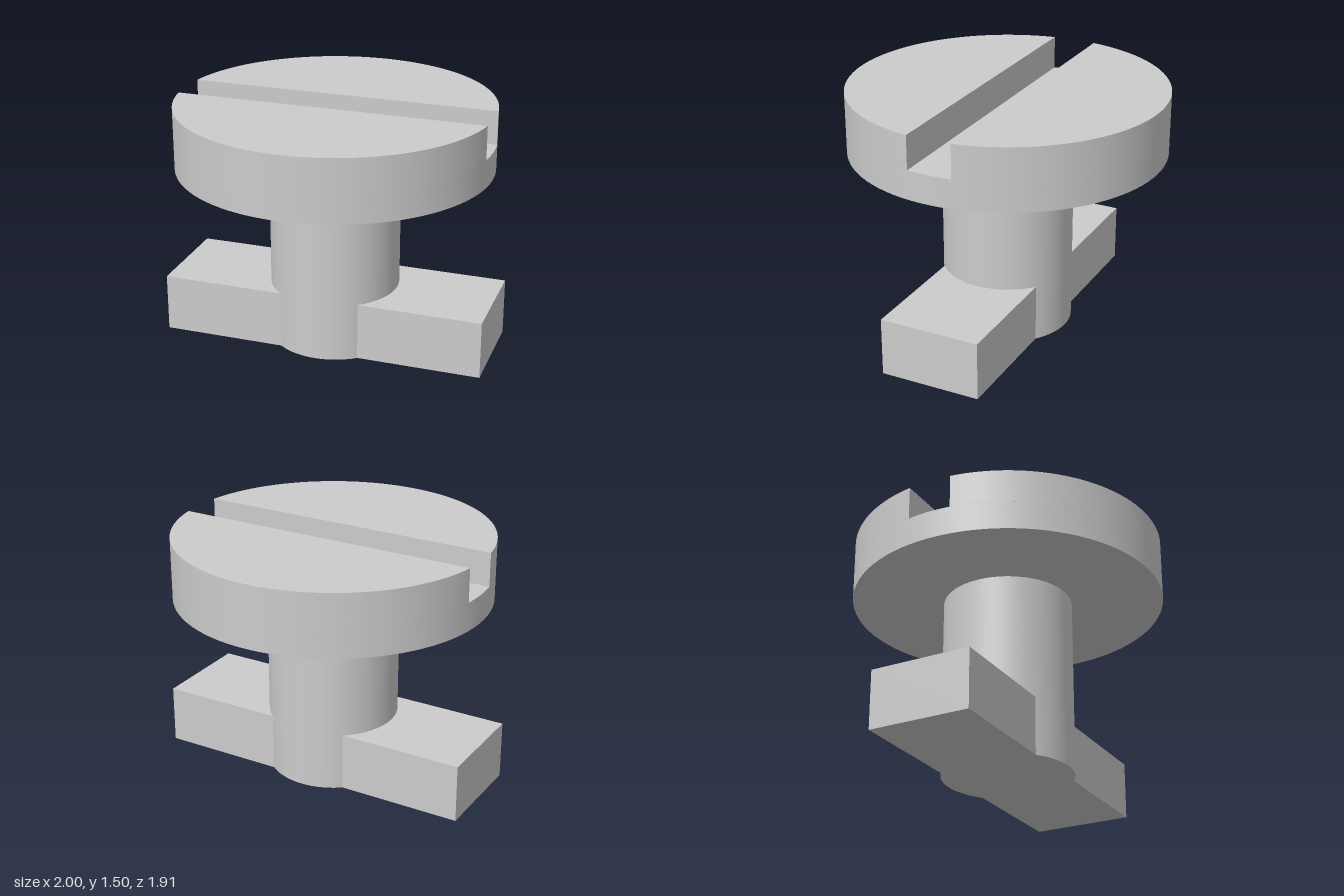
import * as THREE from 'three';
import { toCreasedNormals } from 'three/addons/utils/BufferGeometryUtils.js';

const HEAD_R = 0.955, HEAD_BOTTOM = 1.12, HEAD_TOP = 1.5;
const SLOT_FLOOR = 1.295, SLOT_HALF = 0.136;
const SHAFT_R = 0.395;
const LUG_HALF = 0.31, LUG_TOP = 0.355;

export function createModel() {
  const model = new THREE.Group();
  const material = new THREE.MeshStandardMaterial({ color: 0xcccccc });

  const add = (name, geometry) => {
    const mesh = new THREE.Mesh(geometry, material);
    mesh.name = name;
    model.add(mesh);
    return mesh;
  };

  // Raise a plan outline from height y0 to y1, smooth on arcs and sharp at edges
  const slab = (shape, y0, y1) => {
    const g = new THREE.ExtrudeGeometry(shape, { depth: y1 - y0, bevelEnabled: false, curveSegments: 48 });
    g.rotateX(-Math.PI / 2);
    g.translate(0, y0, 0);
    return toCreasedNormals(g, Math.PI / 6);
  };

  // Foot: crossbar whose sides bulge out where the round shaft passes through
  const a = Math.asin(LUG_HALF / SHAFT_R);
  const foot = new THREE.Shape();
  foot.moveTo(1, -LUG_HALF);
  foot.lineTo(1, LUG_HALF);
  foot.absarc(0, 0, SHAFT_R, a, Math.PI - a, false);
  foot.lineTo(-1, LUG_HALF);
  foot.lineTo(-1, -LUG_HALF);
  foot.absarc(0, 0, SHAFT_R, Math.PI + a, 2 * Math.PI - a, false);
  foot.closePath();
  add('crossbarFoot', slab(foot, 0, LUG_TOP));

  // Shaft between foot and head
  const shaft = new THREE.CylinderGeometry(SHAFT_R, SHAFT_R, HEAD_BOTTOM - LUG_TOP, 96, 1, true);
  shaft.translate(0, (HEAD_BOTTOM + LUG_TOP) / 2, 0);
  add('shaft', shaft);

  // Head: full disc up to the slot floor
  const disc = new THREE.Shape();
  disc.absarc(0, 0, HEAD_R, 0, Math.PI * 2, false);
  add('headDisc', slab(disc, HEAD_BOTTOM, SLOT_FLOOR));

  // Head: two circle segments leaving the slot between them
  const b = Math.asin(SLOT_HALF / HEAD_R);
  for (const [name, turn] of [['backHeadSegment', 0], ['frontHeadSegment', Math.PI]]) {
    const segment = new THREE.Shape();
    segment.absarc(0, 0, HEAD_R, turn + b, turn + Math.PI - b, false);
    segment.closePath();
    add(name, slab(segment, SLOT_FLOOR, HEAD_TOP));
  }

  return model;
}
